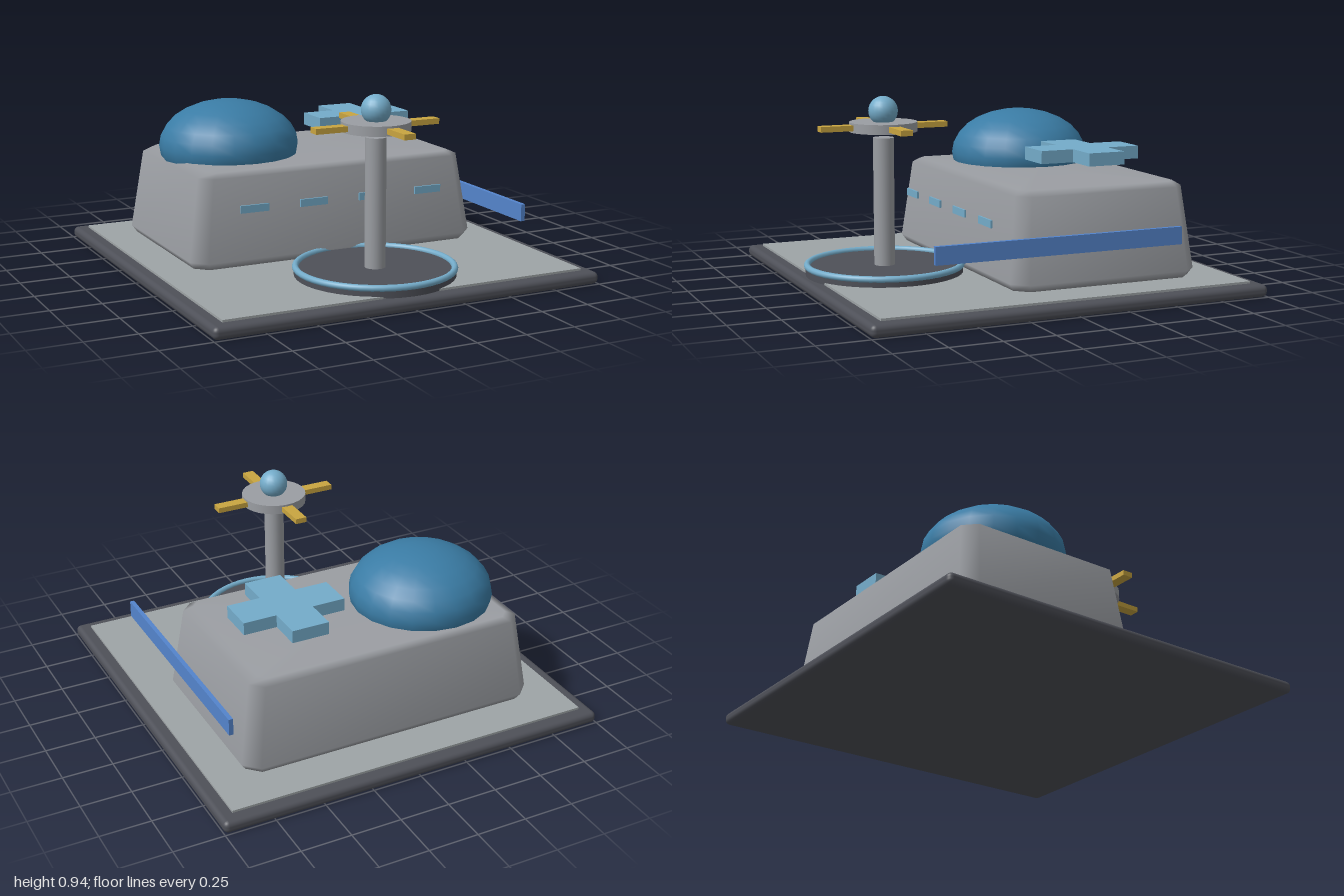
import * as THREE from 'three';
import { RoundedBoxGeometry } from 'three/addons/geometries/RoundedBoxGeometry.js';

export function createModel() {
  const model = new THREE.Group();
  const material = (name, color) => {
    const m = new THREE.MeshStandardMaterial({ color });
    m.name = name;
    return m;
  };
  const dark = material('dark slab', 0x4e5058);
  const floorGrey = material('floor grey', 0x9ea4a6);
  const hullGrey = material('hull grey', 0x9b9ea3);
  const domeBlue = material('dome blue', 0x3a7ca5);
  const paleBlue = material('pale blue', 0x74acca);
  const panelBlue = material('panel blue', 0x5484cc);
  const gold = material('gold', 0xc9a540);

  const add = (name, geometry, mat, x, y, z, parent = model) => {
    const mesh = new THREE.Mesh(geometry, mat);
    mesh.name = name;
    mesh.position.set(x, y, z);
    parent.add(mesh);
    return mesh;
  };
  const box = (w, h, d) => new THREE.BoxGeometry(w, h, d);

  // Ground slab and paved floor
  add('baseSlab', new RoundedBoxGeometry(2, 0.06, 2, 3, 0.025), dark, 0, 0.033, 0);
  add('floorPlate', box(1.87, 0.02, 1.87), floorGrey, 0, 0.064, 0);

  // Main building: tapered block with chamfered corners
  add('building', hullGeometry([
    [0.08, 0.752, 0.465, 0.06],
    [0.115, 0.776, 0.488, 0.07],
    [0.515, 0.716, 0.442, 0.06],
    [0.538, 0.665, 0.41, 0.04],
  ]), hullGrey, 0, 0, -0.267);

  // Roof dome
  const dome = add('dome', new THREE.SphereGeometry(0.355, 20, 14), domeBlue, -0.37, 0.582, -0.32);
  dome.scale.y = 0.64;

  // Raised roof cross
  const a = 0.094, b = 0.262;
  const cross = new THREE.Shape([
    [a, a], [a, b], [-a, b], [-a, a], [-b, a], [-b, -a],
    [-a, -a], [-a, -b], [a, -b], [a, -a], [b, -a], [b, a],
  ].map(([x, y]) => new THREE.Vector2(x, y)));
  const crossGeometry = new THREE.ExtrudeGeometry(cross, { depth: 0.063, bevelEnabled: false });
  crossGeometry.rotateX(-Math.PI / 2);
  add('roofCross', crossGeometry, paleBlue, 0.364, 0.627, -0.32);

  // Front windows
  for (const x of [-0.475, -0.16, 0.16, 0.475]) {
    add('window', box(0.148, 0.037, 0.0095), paleBlue, x, 0.372, 0.244);
  }

  // Long side panel
  add('sidePanel', box(0.022, 0.085, 1.26), panelBlue, 0.798, 0.298, 0);

  // Round pad with a beacon tower
  const tower = new THREE.Group();
  tower.name = 'beaconTower';
  tower.position.z = 0.577;
  model.add(tower);
  add('pad', new THREE.CylinderGeometry(0.388, 0.388, 0.043, 40), dark, 0, 0.0865, 0, tower);
  const ring = add('padRing', new THREE.TorusGeometry(0.38, 0.016, 10, 48), paleBlue, 0, 0.111, 0, tower);
  ring.rotation.x = Math.PI / 2;
  add('pole', new THREE.CylinderGeometry(0.051, 0.051, 0.637, 20), hullGrey, 0, 0.4185, 0, tower);
  add('hub', new THREE.CylinderGeometry(0.166, 0.166, 0.047, 28), hullGrey, 0, 0.791, 0, tower);
  add('beacon', new THREE.SphereGeometry(0.072, 20, 14), paleBlue, 0, 0.867, 0, tower);
  for (let i = 0; i < 4; i++) {
    const angle = (i * Math.PI) / 2;
    const arm = add('arm', box(0.17, 0.027, 0.058), gold,
      Math.cos(angle) * 0.24, 0.791, Math.sin(angle) * 0.24, tower);
    arm.rotation.y = -angle;
  }
  return model;
}

// Stacks chamfered rectangles [height, halfWidth, halfDepth, chamfer] into a closed solid
function hullGeometry(levels) {
  const positions = [], index = [];
  for (const [y, w, d, c] of levels) {
    for (const [x, z] of [
      [w, -d + c], [w, d - c], [w - c, d], [-w + c, d],
      [-w, d - c], [-w, -d + c], [-w + c, -d], [w - c, -d],
    ]) positions.push(x, y, z);
  }
  const top = levels.length - 1;
  positions.push(0, levels[0][0], 0, 0, levels[top][0], 0);
  const bottomCentre = levels.length * 8, topCentre = bottomCentre + 1;
  for (let i = 0; i < 8; i++) {
    const j = (i + 1) % 8;
    for (let k = 0; k < top; k++) {
      const p = k * 8 + i, q = k * 8 + j;
      index.push(p, p + 8, q, q, p + 8, q + 8);
    }
    index.push(bottomCentre, i, j, topCentre, top * 8 + j, top * 8 + i);
  }
  const geometry = new THREE.BufferGeometry();
  geometry.setAttribute('position', new THREE.Float32BufferAttribute(positions, 3));
  geometry.setIndex(index);
  geometry.computeVertexNormals();
  return geometry;
}
